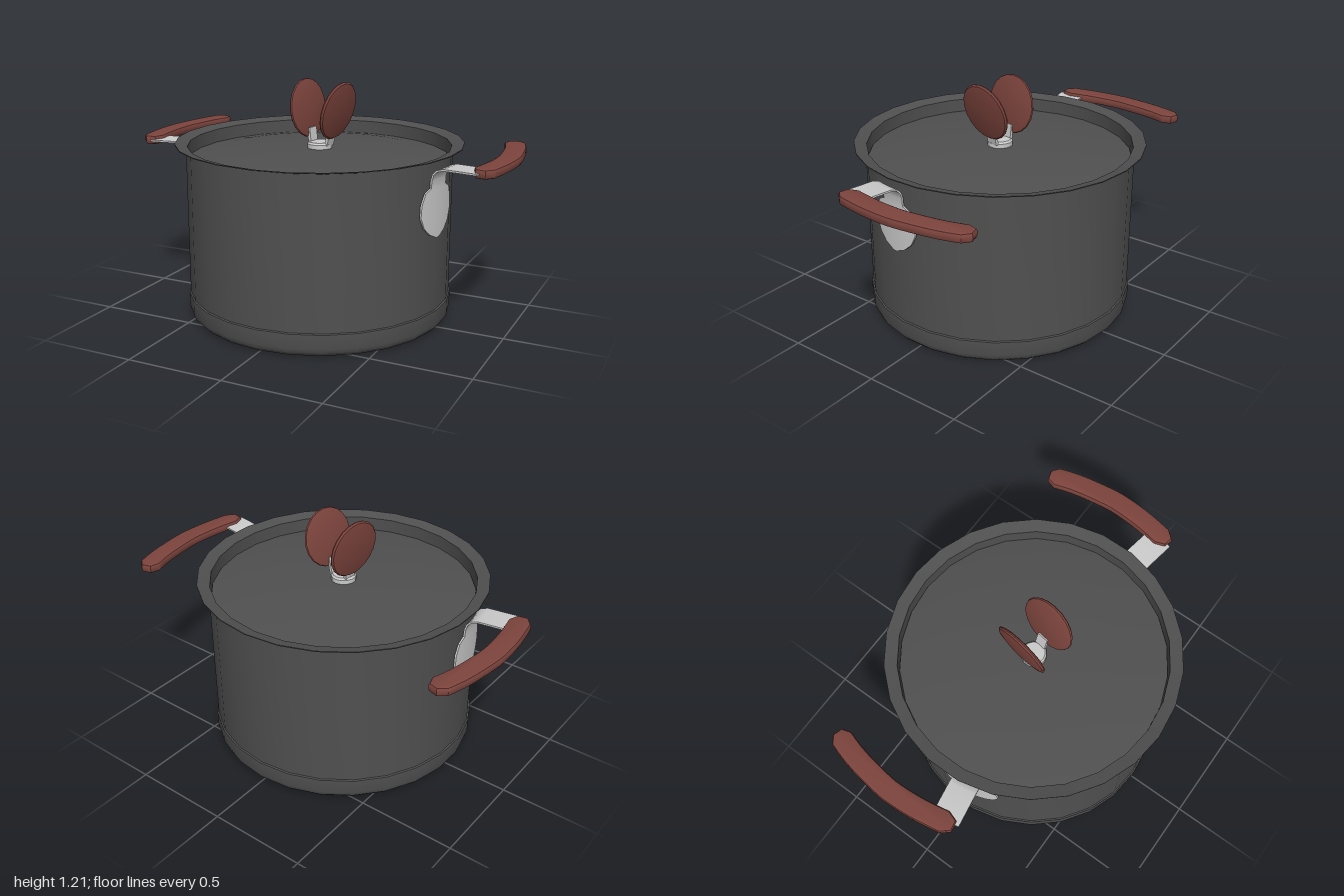
import * as THREE from 'three';
import { toCreasedNormals } from 'three/addons/utils/BufferGeometryUtils.js';

const SIDES = 26;
const potMat = new THREE.MeshStandardMaterial({ color: 0x505050, side: THREE.DoubleSide });
const steel = new THREE.MeshStandardMaterial({ color: 0xcccccc });
const wood = new THREE.MeshStandardMaterial({ color: 0x7d443d });

const v2 = (pts) => pts.map(([x, y]) => new THREE.Vector2(x, y));

function add(parent, name, geometry, material, crease = 0.6) {
  const mesh = new THREE.Mesh(toCreasedNormals(geometry, crease), material);
  mesh.name = name;
  parent.add(mesh);
  return mesh;
}

// Bracket: a bar bent along a path of [radius, height, half width], wrapped on the wall
function bracketGeometry() {
  const rows = [
    [0.688, 0.51, 0.012], [0.688, 0.535, 0.07], [0.688, 0.575, 0.115], [0.688, 0.63, 0.141],
    [0.688, 0.69, 0.137], [0.688, 0.742, 0.113], [0.688, 0.762, 0.07], [0.69, 0.8, 0.07],
    [0.699, 0.83, 0.07], [0.717, 0.849, 0.07], [0.75, 0.859, 0.07], [0.92, 0.859, 0.07],
  ];
  const n = rows.length - 1;
  const thick = 0.009, wall = 0.688;
  const geo = new THREE.BoxGeometry(1, 1, 1, 1, n, 8);
  const p = geo.attributes.position;
  for (let k = 0; k < p.count; k++) {
    const i = Math.round((p.getY(k) + 0.5) * n);
    const [r, y, half] = rows[i];
    const a = rows[Math.max(i - 1, 0)], b = rows[Math.min(i + 1, n)];
    const len = Math.hypot(b[0] - a[0], b[1] - a[1]);
    const t = p.getX(k) * thick;
    const w = p.getZ(k) * 2 * half;
    const sag = wall - Math.sqrt(wall * wall - w * w);
    p.setXYZ(k, r + (t * (b[1] - a[1])) / len - sag, y - (t * (b[0] - a[0])) / len, w);
  }
  return geo;
}

// Grip: bowed outline with tapered ends, extruded with a bevel
function gripGeometry() {
  const curve = new THREE.SplineCurve(v2([
    [0.875, -0.515], [0.915, -0.38], [0.943, -0.2], [0.946, -0.1], [0.935, 0.03], [0.907, 0.185],
  ]));
  const bevel = 0.014, steps = 16;
  const outer = [], inner = [];
  for (let i = 0; i <= steps; i++) {
    const t = i / steps;
    const c = curve.getPoint(t), d = curve.getTangent(t);
    const half = i === 0 || i === steps ? 0.018 : 0.054 - bevel;
    outer.push(new THREE.Vector2(c.x - d.y * half, c.y + d.x * half));
    inner.unshift(new THREE.Vector2(c.x + d.y * half, c.y - d.x * half));
  }
  const geo = new THREE.ExtrudeGeometry(new THREE.Shape([...outer, ...inner]), {
    depth: 0.022, bevelEnabled: true, bevelThickness: 0.012, bevelSize: bevel, bevelSegments: 2,
  });
  geo.rotateX(Math.PI / 2);
  geo.translate(0, 0.87, 0);
  return geo;
}

export function createModel() {
  const model = new THREE.Group();

  // Pot: rounded base band, straight wall, flared rim and hollow inside
  add(model, 'pot', new THREE.LatheGeometry(v2([
    [0, 0], [0.635, 0], [0.66, 0.009], [0.677, 0.027], [0.684, 0.05], [0.684, 0.122],
    [0.677, 0.126], [0.677, 0.885], [0.733, 0.9], [0.733, 0.905], [0.67, 0.889],
    [0.667, 0.1], [0, 0.1],
  ]), SIDES), potMat, 0.5);

  // Lid: shallow dome set below the rim
  add(model, 'lid', new THREE.LatheGeometry(v2([
    [0.667, 0.805], [0.667, 0.82], [0.55, 0.838], [0.36, 0.854], [0.18, 0.863], [0, 0.866],
  ]), SIDES), potMat);

  // Knob: steel foot carrying two leaning wooden discs
  const knob = new THREE.Group();
  knob.name = 'knob';
  model.add(knob);
  add(knob, 'knobFoot', new THREE.LatheGeometry(v2([
    [0.064, 0.855], [0.064, 0.887], [0.056, 0.897], [0, 0.898],
  ]), 14), steel);

  const discGeo = new THREE.LatheGeometry(v2([
    [0, -0.012], [0.132, -0.012], [0.147, -0.007], [0.15, 0], [0.143, 0.008],
    [0.11, 0.014], [0, 0.018],
  ]), 20);
  discGeo.rotateZ(-Math.PI / 2);
  const discs = [
    ['leftDisc', 0.108, 1.063, 0.01, -0.15, -0.235],
    ['rightDisc', -0.075, 1.063, -0.017, Math.PI - 0.15, -0.12],
  ];
  for (const [name, x, y, z, yaw, tilt] of discs) {
    const holder = new THREE.Group();
    holder.name = name;
    holder.position.set(x, y, z);
    holder.rotation.set(0, yaw, tilt);
    knob.add(holder);
    add(holder, 'disc', discGeo, wood);
    const tab = add(holder, 'discTab', new THREE.BoxGeometry(0.016, 0.09, 0.06), steel);
    tab.position.set(-0.012, -0.145, 0);
  }

  // Side handles: wall bracket and bowed grip, mirrored
  const bracket = bracketGeometry();
  const grip = gripGeometry();
  for (const side of [1, -1]) {
    const handle = new THREE.Group();
    handle.name = side > 0 ? 'leftHandle' : 'rightHandle';
    handle.scale.x = side;
    model.add(handle);
    add(handle, 'bracket', bracket, steel).rotation.y = -0.162;
    add(handle, 'grip', grip, wood);
  }
  return model;
}
